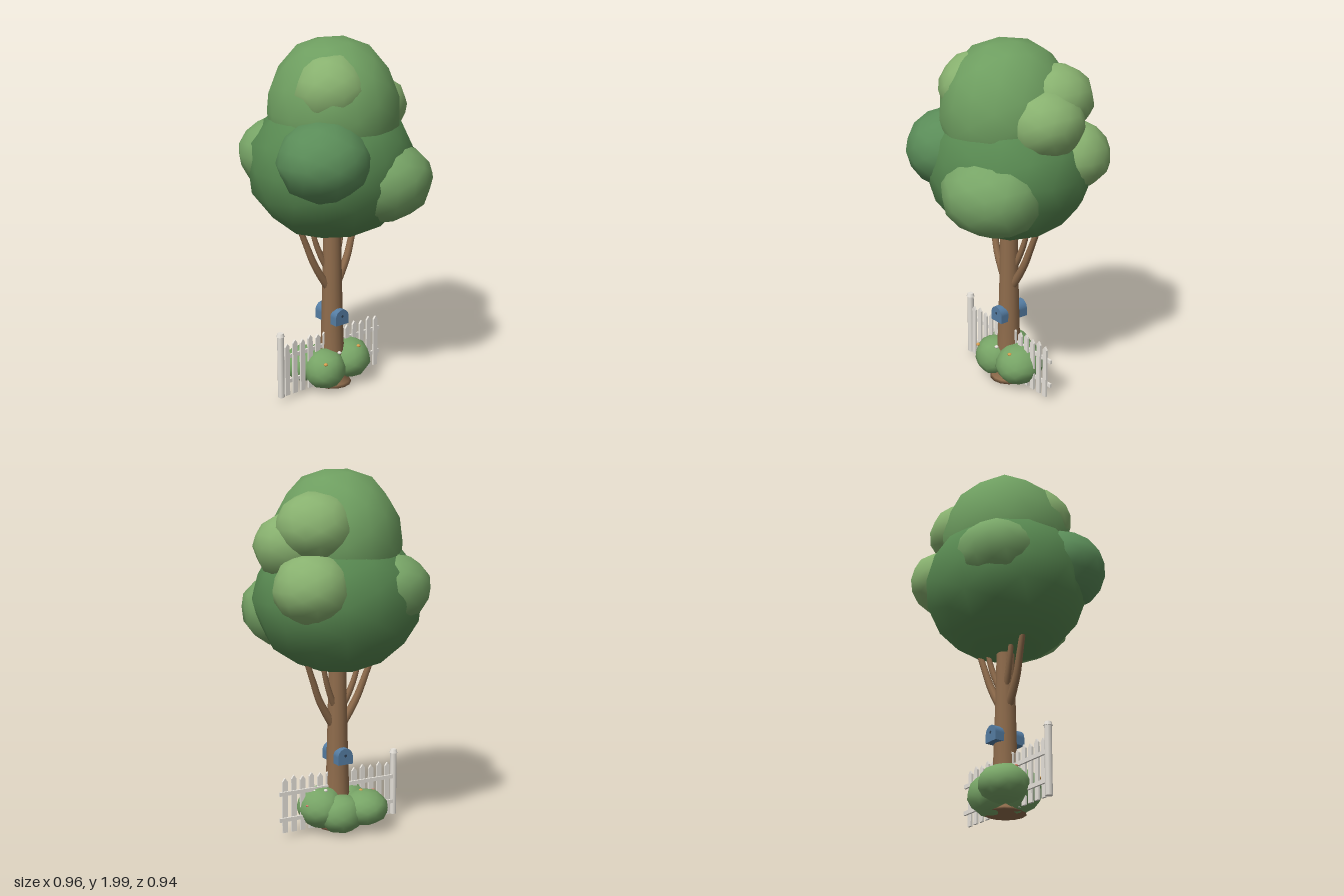
import * as THREE from 'three';
import { mergeVertices } from 'three/addons/utils/BufferGeometryUtils.js';

const mat = (color) => new THREE.MeshStandardMaterial({ color });
const bark = mat(0x8f6c4c);
const blue = mat(0x557da3);
const dark = mat(0x2d3f52);
const white = mat(0xe6e2da);
const greens = { deep: mat(0x588951), mid: mat(0x6e9e60), shade: mat(0x5a8c58), leaf: mat(0x77a466), light: mat(0x88b16f) };
const Z = -0.03; // depth of the trunk axis and the fence

function add(parent, name, geometry, material, x = 0, y = 0, z = 0) {
  const mesh = new THREE.Mesh(geometry, material);
  mesh.name = name;
  mesh.position.set(x, y, z);
  parent.add(mesh);
  return mesh;
}

// Lumpy, smooth-shaded ball of foliage
function clumpGeometry(rx, ry, rz, seed, lump) {
  let g = new THREE.IcosahedronGeometry(1, 2);
  g.deleteAttribute('uv');
  g.deleteAttribute('normal');
  g = mergeVertices(g, 1e-3);
  const p = g.attributes.position;
  for (let i = 0; i < p.count; i++) {
    const x = p.getX(i), y = p.getY(i), z = p.getZ(i);
    const k = 1 + lump * Math.sin(9 * x + seed) * Math.cos(8 * y - seed * 2) + lump * 0.6 * Math.sin(11 * z + seed * 3);
    p.setXYZ(i, x * rx * k, y * ry * k, z * rz * k);
  }
  g.computeVertexNormals();
  return g;
}

function buildCanopy() {
  const canopy = new THREE.Group();
  canopy.name = 'canopy';
  const clumps = [
    // name, colour, centre, radii
    ['lowerCrown', 'deep', 0, 1.31, -0.03, 0.465, 0.41, 0.445],
    ['upperCrown', 'mid', 0, 1.605, -0.02, 0.352, 0.4, 0.372],
    ['frontRightClump', 'shade', -0.228, 1.395, 0.185, 0.25, 0.22, 0.248],
    ['frontLeftClump', 'leaf', 0.152, 1.24, 0.2, 0.29, 0.23, 0.27],
    ['leftClump', 'light', 0.265, 1.597, -0.045, 0.215, 0.188, 0.215],
    ['upperBackLeftClump', 'light', 0.2, 1.695, -0.165, 0.214, 0.19, 0.214],
    ['lowerBackLeftClump', 'light', 0.262, 1.39, -0.245, 0.207, 0.19, 0.212],
    ['backRightClump', 'leaf', -0.2, 1.37, -0.23, 0.232, 0.195, 0.222],
    ['topFrontClump', 'light', -0.11, 1.735, 0.1, 0.205, 0.2, 0.205],
  ];
  clumps.forEach(([name, tone, x, y, z, rx, ry, rz], i) =>
    add(canopy, name, clumpGeometry(rx, ry, rz, i * 1.7, i < 2 ? 0.014 : 0.03), greens[tone], x, y, z));
  return canopy;
}

function buildTrunk() {
  const wood = new THREE.Group();
  wood.name = 'wood';
  wood.position.z = Z;
  const profile = [[0, 0.02], [0.11, 0.02], [0.1, 0.035], [0.08, 0.07], [0.069, 0.18], [0.063, 0.35], [0.056, 0.6], [0.05, 0.9], [0.045, 1.05], [0, 1.05]];
  add(wood, 'trunk', new THREE.LatheGeometry(profile.map(([r, y]) => new THREE.Vector2(r, y)), 14), bark);

  // Mirrored pairs of branches, tapered towards the crown
  for (const s of [1, -1]) {
    for (const [name, r, points] of [
      ['mainBranch', 0.025, [[0.02, 0.59, 0], [0.06, 0.65, -0.005], [0.12, 0.755, -0.012], [0.16, 0.86, -0.022], [0.22, 1.02, -0.035]]],
      ['innerBranch', 0.02, [[0.025, 0.71, -0.015], [0.06, 0.785, -0.025], [0.09, 0.87, -0.035], [0.125, 1.02, -0.045]]],
    ]) {
      const curve = new THREE.CatmullRomCurve3(points.map(([x, y, z]) => new THREE.Vector3(x * s, y, z)));
      const g = new THREE.TubeGeometry(curve, 12, r, 8);
      const p = g.attributes.position, c = new THREE.Vector3(), v = new THREE.Vector3();
      for (let i = 0; i < p.count; i++) {
        const t = Math.floor(i / 9) / 12;
        curve.getPointAt(t, c);
        v.fromBufferAttribute(p, i).sub(c).multiplyScalar(1 - 0.4 * t).add(c);
        p.setXYZ(i, v.x, v.y, v.z);
      }
      add(wood, name, g, bark);
    }
  }
  return wood;
}

// Round-topped box with a small entrance hole
function buildNestBox(z, turn) {
  const box = new THREE.Group();
  box.name = 'nestBox';
  box.position.set(0, 0.395, z);
  box.rotation.y = turn;
  const s = new THREE.Shape();
  s.moveTo(-0.045, 0);
  s.lineTo(0.045, 0);
  s.lineTo(0.045, 0.045);
  s.absarc(0, 0.045, 0.045, 0, Math.PI, false);
  s.closePath();
  add(box, 'nestBoxBody', new THREE.ExtrudeGeometry(s, { depth: 0.06, bevelEnabled: false, curveSegments: 16 }), blue);
  add(box, 'nestBoxHole', new THREE.CircleGeometry(0.008, 10), dark, 0, 0.05, 0.061);
  return box;
}

function buildFence() {
  const fence = new THREE.Group();
  fence.name = 'fence';
  fence.position.z = Z;
  for (let i = 0; i < 13; i++) {
    const h = i % 2 ? 0.32 : 0.31, w = 0.015;
    const s = new THREE.Shape([[-w, 0], [w, 0], [w, h - 0.02], [0, h], [-w, h - 0.02]].map(([x, y]) => new THREE.Vector2(x, y)));
    add(fence, 'picket', new THREE.ExtrudeGeometry(s, { depth: 0.012, bevelEnabled: false }), white, -0.324 + i * 0.054, 0.03, -0.004);
  }
  for (const y of [0.107, 0.255]) add(fence, 'rail', new THREE.BoxGeometry(0.73, 0.022, 0.012), white, -0.003, y, -0.009);
  add(fence, 'post', new THREE.CylinderGeometry(0.019, 0.019, 0.365, 8), white, -0.365, 0.2125, 0);
  add(fence, 'postCap', new THREE.CylinderGeometry(0.017, 0.024, 0.02, 8), white, -0.365, 0.402, 0);
  return fence;
}

function buildBushes() {
  const bushes = new THREE.Group();
  bushes.name = 'bushes';
  const list = [
    ['leftBush', 'leaf', 0.105, 0.145, -0.025, 0.13, 0.117, 0.14],
    ['frontBush', 'leaf', -0.08, 0.132, 0.0, 0.12, 0.115, 0.118],
    ['backRightBush', 'leaf', -0.118, 0.135, -0.125, 0.132, 0.1, 0.135],
    ['backBush', 'leaf', 0.02, 0.115, -0.115, 0.125, 0.108, 0.11],
  ];
  list.forEach(([name, tone, x, y, z, rx, ry, rz], i) =>
    add(bushes, name, clumpGeometry(rx, ry, rz, 2 + i * 2.3, 0.03), greens[tone], x, y, z));

  // Scattered blossoms
  const petals = [mat(0xd9a050), mat(0xe6e2da), mat(0xd0806a)];
  const spots = [[0.12, 0.235, 0.06], [-0.012, 0.225, 0.05], [-0.19, 0.215, -0.1], [-0.14, 0.2, 0.085],
    [0.15, 0.245, -0.05], [0.21, 0.18, -0.08], [-0.1, 0.233, -0.12], [0.1, 0.25, -0.08]];
  const bloom = new THREE.SphereGeometry(0.012, 8, 6);
  spots.forEach(([x, y, z], i) => add(bushes, 'blossom', bloom, petals[i % 3], x, y, z).scale.y = 0.7);
  return bushes;
}

export function createModel() {
  const model = new THREE.Group();
  model.name = 'gardenTree';
  model.add(buildCanopy(), buildTrunk(), buildNestBox(0, 0), buildNestBox(-0.065, Math.PI), buildFence(), buildBushes());
  return model;
}
